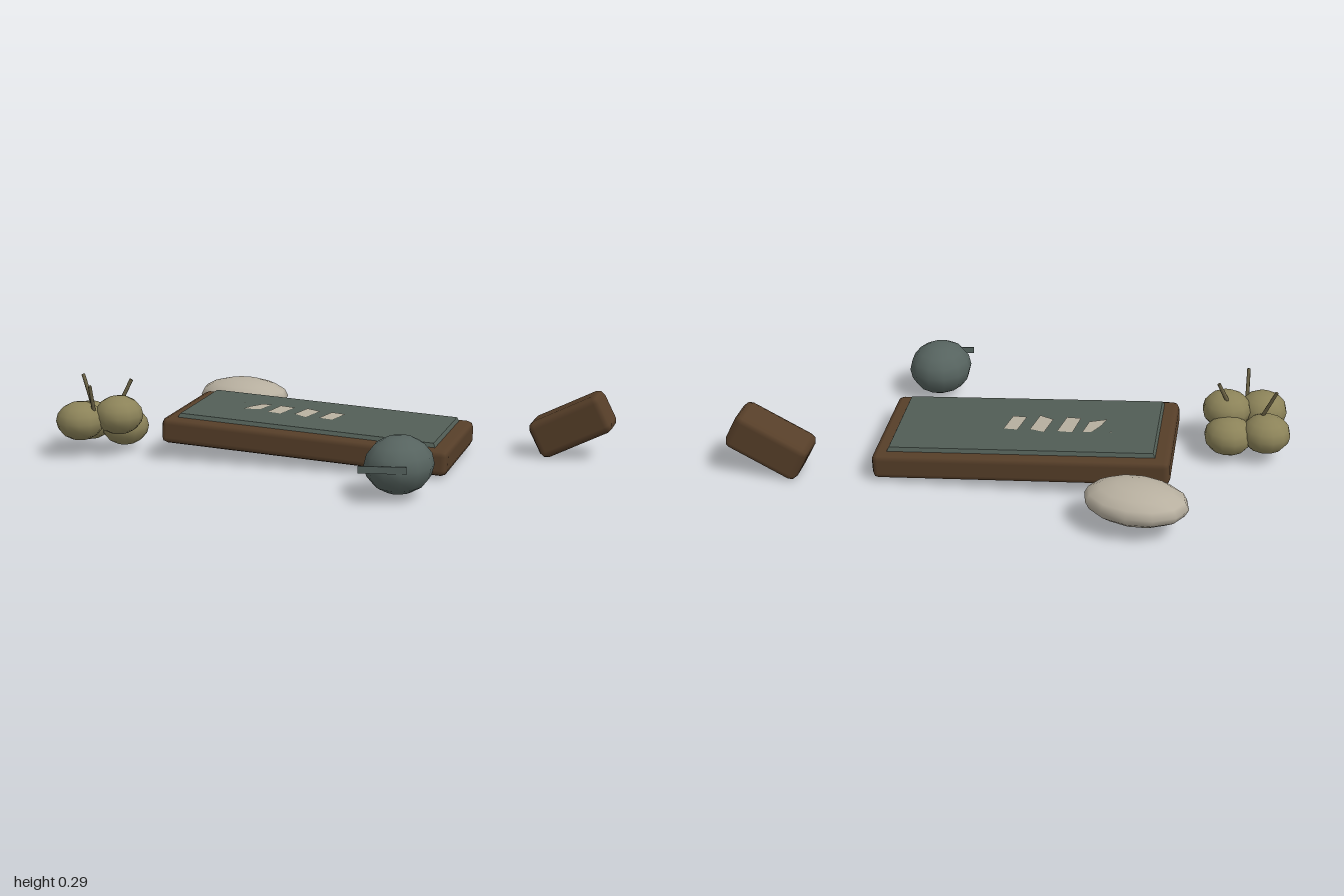
import * as THREE from 'three';
import { RoundedBoxGeometry } from 'three/addons/geometries/RoundedBoxGeometry.js';

const paint = (name, color, side = THREE.FrontSide) => {
  const m = new THREE.MeshStandardMaterial({ color, side });
  m.name = name;
  return m;
};

export function createModel() {
  const brown = paint('dark wood', 0x573f29);
  const slate = paint('slate green', 0x525e56);
  const stone = paint('grey stone', 0x56635f);
  const pale = paint('pale chalk', 0xb8b0a0, THREE.DoubleSide);
  const olive = paint('olive', 0x8c8359);
  const stalkColour = paint('dark olive', 0x6b6245);

  const root = new THREE.Group();
  const add = (parent, name, geometry, material, x = 0, y = 0, z = 0) => {
    const mesh = new THREE.Mesh(geometry, material);
    mesh.name = name;
    mesh.position.set(x, y, z);
    parent.add(mesh);
    return mesh;
  };
  const ball = (name, material, [x, y, z], [rx, ry, rz], parent = root) => {
    const g = new THREE.SphereGeometry(1, 12, 8).scale(rx, ry, rz);
    return add(parent, name, g, material, x, y, z);
  };

  // Board: wooden tray, turned and sloping down to +x
  const board = new THREE.Group();
  board.name = 'board';
  board.position.set(-0.055, 0.088, -0.045);
  board.rotation.set(0, 0.198, -0.052, 'YXZ');
  root.add(board);
  add(board, 'frame', new RoundedBoxGeometry(1.12, 0.1, 0.525, 1, 0.024), brown);

  // Slate panel with sloping edges
  const panel = new THREE.BoxGeometry(1.03, 0.035, 0.465);
  const p = panel.attributes.position;
  for (let i = 0; i < p.count; i++) {
    if (p.getY(i) > 0) p.setXYZ(i, p.getX(i) * 0.965, p.getY(i), p.getZ(i) * 0.93);
  }
  panel.computeVertexNormals();
  add(board, 'slatePanel', panel, slate, 0, 0.0475, 0);

  // Chalk marks, as outlines of x, z pairs
  const marks = new THREE.Group();
  marks.name = 'chalkMarks';
  marks.position.y = 0.068;
  marks.rotation.y = -0.198;
  board.add(marks);
  const outlines = [
    [[-0.28, -0.065], [-0.315, -0.055], [-0.335, 0.01], [-0.34, 0.06], [-0.28, 0.025]],
    [[-0.185, -0.08], [-0.245, -0.075], [-0.24, 0.045], [-0.185, 0.04]],
    [[-0.08, -0.09], [-0.14, -0.1], [-0.14, 0.01], [-0.08, 0.03]],
    [[0.02, -0.11], [-0.035, -0.105], [-0.035, 0.005], [0.02, 0.0]],
    [[-0.38, -0.045], [-0.39, -0.04], [-0.385, -0.03]],
  ];
  for (const o of outlines) {
    const shape = new THREE.Shape(o.map(([x, z]) => new THREE.Vector2(x + 0.055, -(z + 0.045))));
    add(marks, 'chalkMark', new THREE.ShapeGeometry(shape).rotateX(-Math.PI / 2), pale);
  }

  // Loose pebble behind the board
  ball('palePebble', pale, [-0.59, 0.11, -0.4], [0.195, 0.072, 0.14]);

  // Grey stone with a thin strip across its front
  ball('greyStone', stone, [0.48, 0.12, 0.378], [0.124, 0.105, 0.137]);
  add(root, 'strip', new THREE.BoxGeometry(0.17, 0.026, 0.005), stone, 0.48, 0.132, 0.52)
    .rotation.y = 0.36;

  // Tilted wooden block
  add(root, 'woodBlock', new RoundedBoxGeometry(0.305, 0.152, 0.16, 1, 0.028), brown, 0.833, 0.126, -0.457)
    .rotation.set(0, 0.17, 0.47, 'YXZ');

  // Cluster of fruit
  const cluster = new THREE.Group();
  cluster.name = 'fruitCluster';
  root.add(cluster);
  for (const c of [[-0.908, 0.11, 0.27], [-0.77, 0.095, 0.235], [-0.737, 0.16, 0.325], [-0.862, 0.14, 0.405]]) {
    ball('fruit', olive, c, [0.094, 0.075, 0.093], cluster);
  }

  // Stalks from base to tip
  const up = new THREE.Vector3(0, 1, 0);
  const stalks = [
    [[-0.88, 0.16, 0.285], [-0.94, 0.29, 0.265]],
    [[-0.80, 0.15, 0.395], [-0.79, 0.29, 0.44]],
    [[-0.755, 0.2, 0.285], [-0.715, 0.29, 0.265]],
  ];
  for (const [a, b] of stalks) {
    const from = new THREE.Vector3(...a), to = new THREE.Vector3(...b);
    const along = to.clone().sub(from);
    const mid = from.add(to).multiplyScalar(0.5);
    const stalk = add(cluster, 'stalk', new THREE.CylinderGeometry(0.007, 0.008, along.length(), 6),
      stalkColour, mid.x, mid.y, mid.z);
    stalk.quaternion.setFromUnitVectors(up, along.normalize());
  }

  return root;
}
